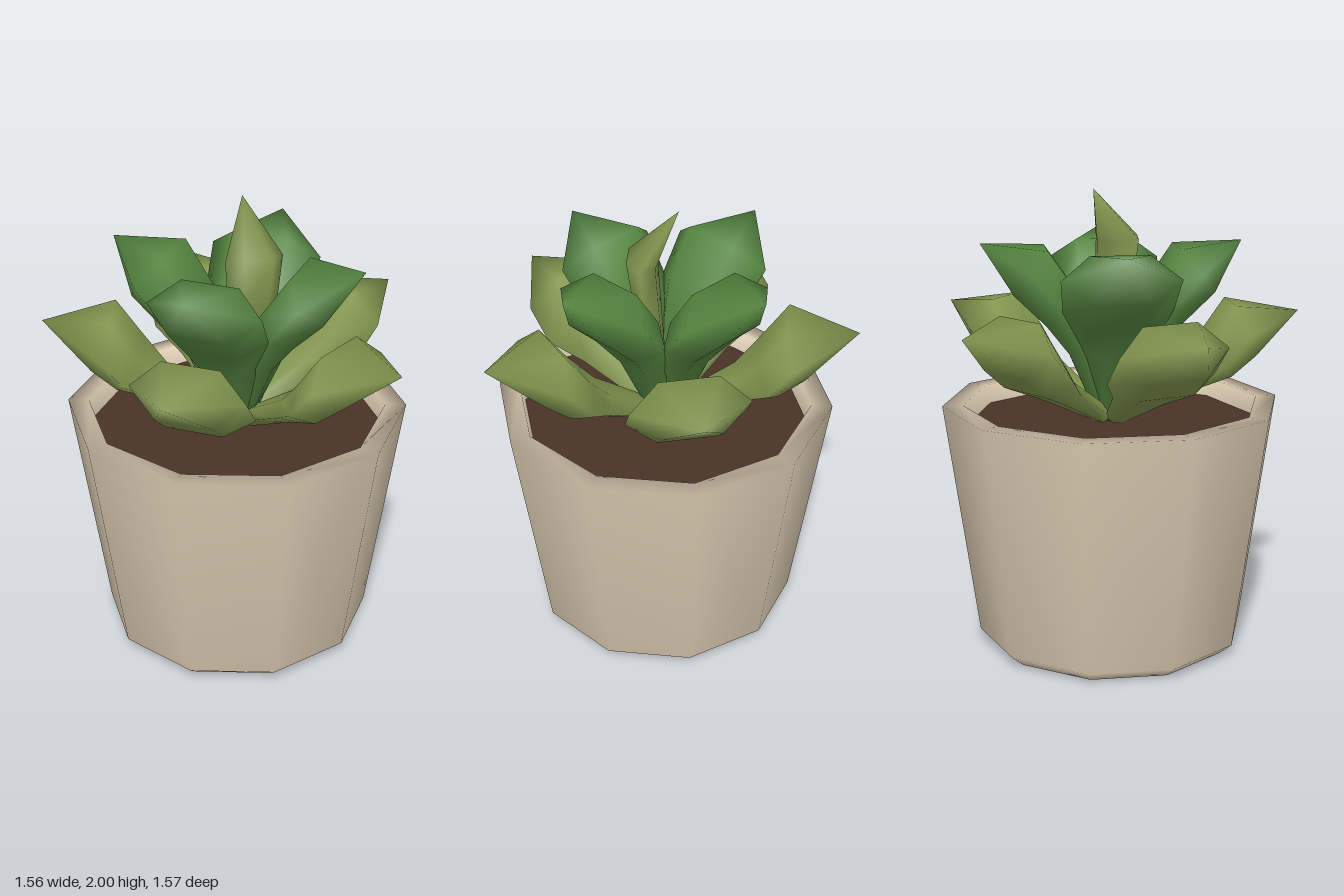
import * as THREE from 'three';

const SIDES = 6;
const CENTRE_X = -0.047;

const mat = (color) => new THREE.MeshStandardMaterial({ color, side: THREE.DoubleSide });

// Fleshy leaf growing along +x: six-sided rings [reach, height, halfWidth, halfThickness, pitch], then a pointed tip
function leafGeometry(rings, tip) {
  const pos = [], index = [];
  for (const [r, y, w, t, pitch] of rings) {
    const p = THREE.MathUtils.degToRad(pitch);
    for (let k = 0; k < SIDES; k++) {
      const a = (k / SIDES) * Math.PI * 2;
      const lift = Math.sin(a) * t;
      pos.push(r - Math.sin(p) * lift, y + Math.cos(p) * lift, Math.cos(a) * w);
    }
  }
  const last = (rings.length - 1) * SIDES;
  const tipId = rings.length * SIDES, baseId = tipId + 1;
  pos.push(tip[0], tip[1], 0, rings[0][0], rings[0][1], 0);
  for (let k = 0; k < SIDES; k++) {
    const n = (k + 1) % SIDES;
    for (let i = 0; i < last; i += SIDES) {
      index.push(i + k, i + SIDES + k, i + n, i + n, i + SIDES + k, i + SIDES + n);
    }
    index.push(last + k, tipId, last + n, k, n, baseId);
  }
  const g = new THREE.BufferGeometry();
  g.setAttribute('position', new THREE.Float32BufferAttribute(pos, 3));
  g.setIndex(index);
  g.computeVertexNormals();
  return g;
}

// Ring of equal leaves around the centre
function whorl(name, geometry, material, count, startAngle) {
  const group = new THREE.Group();
  group.name = name + 's';
  for (let i = 0; i < count; i++) {
    const leaf = new THREE.Mesh(geometry, material);
    leaf.name = name;
    leaf.rotation.y = -(startAngle + (i / count) * Math.PI * 2);
    group.add(leaf);
  }
  return group;
}

export function createModel() {
  const model = new THREE.Group();
  model.name = 'pottedSucculent';
  const plant = new THREE.Group();
  plant.name = 'pottedPlant';
  plant.position.x = CENTRE_X;
  model.add(plant);

  const paleGreen = mat(0x82964f);
  const deepGreen = mat(0x558540);

  // Ten-sided tapered pot with a thick rim
  const profile = [
    [0, 0], [0.53, 0], [0.59, 0.05], [0.735, 1.08], [0.645, 1.08], [0.615, 0.97],
  ].map(([x, y]) => new THREE.Vector2(x, y));
  const pot = new THREE.Mesh(new THREE.LatheGeometry(profile, 10, Math.PI / 2), mat(0xd6c6ad));
  pot.name = 'pot';
  plant.add(pot);

  // Soil
  const soil = new THREE.Mesh(new THREE.CircleGeometry(0.625, 10), mat(0x4a3328));
  soil.name = 'soil';
  soil.rotation.x = -Math.PI / 2;
  soil.position.y = 1.0;
  plant.add(soil);

  // Five spreading outer leaves
  const outer = leafGeometry([
    [0.06, 1.03, 0.06, 0.04, 30],
    [0.33, 1.18, 0.16, 0.06, 33],
    [0.457, 1.27, 0.25, 0.10, 33],
    [0.567, 1.395, 0.25, 0.135, 22],
  ], [0.825, 1.46]);
  plant.add(whorl('outerLeaf', outer, paleGreen, 5, 0));

  // Four steeper inner leaves
  const inner = leafGeometry([
    [0.03, 1.02, 0.06, 0.04, 65],
    [0.13, 1.34, 0.15, 0.08, 58],
    [0.22, 1.5, 0.23, 0.11, 48],
    [0.353, 1.66, 0.25, 0.135, 38],
  ], [0.56, 1.775]);
  plant.add(whorl('innerLeaf', inner, deepGreen, 4, THREE.MathUtils.degToRad(55.6)));

  // Upright young leaf in the middle
  const young = leafGeometry([
    [-0.02, 1.0, 0.05, 0.04, 95],
    [-0.08, 1.58, 0.11, 0.06, 92],
    [-0.1, 1.78, 0.125, 0.07, 78],
  ], [0.05, 2.0]);
  const bud = new THREE.Mesh(young, paleGreen);
  bud.name = 'youngLeaf';
  bud.position.x = 0.05;
  bud.rotation.y = THREE.MathUtils.degToRad(75);
  plant.add(bud);

  return model;
}
